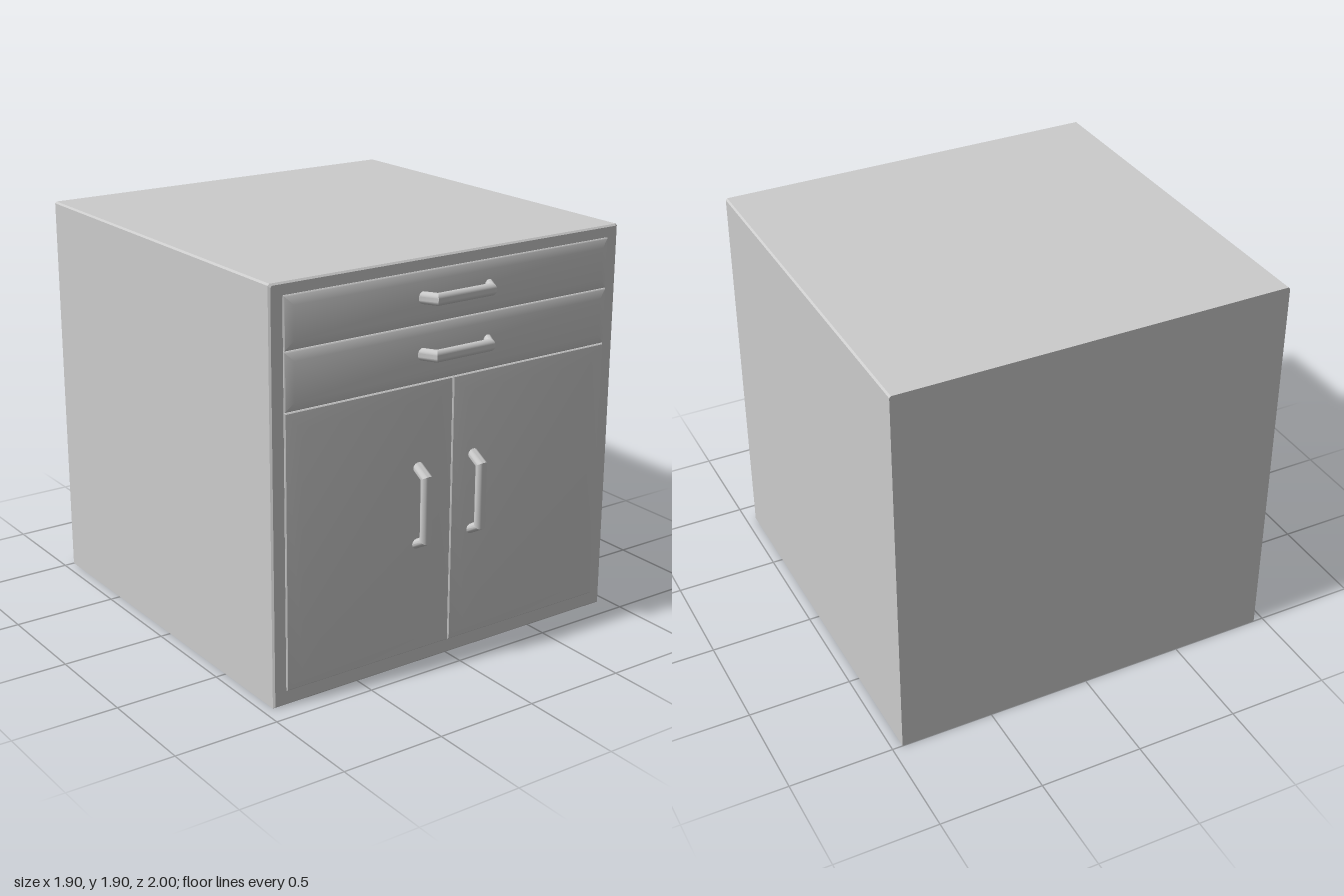
import * as THREE from 'three';
import { toCreasedNormals } from 'three/addons/utils/BufferGeometryUtils.js';

const material = new THREE.MeshStandardMaterial({ color: 0xcccccc });
const shellMaterial = new THREE.MeshStandardMaterial({ color: 0xcccccc, side: THREE.DoubleSide });

// Joins equal-length point loops with quads; the first and last loops can be capped.
function loft(loops, { closed = true, startCap = false, endCap = false } = {}) {
  const pos = [];
  const tri = (a, b, c) => pos.push(...a, ...b, ...c);
  const n = loops[0].length;
  for (let k = 0; k < loops.length - 1; k++) {
    for (let i = 0; i < (closed ? n : n - 1); i++) {
      const j = (i + 1) % n;
      const [a, b, c, d] = [loops[k][i], loops[k][j], loops[k + 1][j], loops[k + 1][i]];
      tri(a, b, c);
      tri(a, c, d);
    }
  }
  const first = loops[0], last = loops[loops.length - 1];
  for (let i = 1; i < n - 1; i++) {
    if (startCap) tri(first[0], first[i + 1], first[i]);
    if (endCap) tri(last[0], last[i], last[i + 1]);
  }
  const g = new THREE.BufferGeometry();
  g.setAttribute('position', new THREE.Float32BufferAttribute(pos, 3));
  return toCreasedNormals(g, 0.5);
}

function addMesh(parent, name, geometry, mat = material) {
  const mesh = new THREE.Mesh(geometry, mat);
  mesh.name = name;
  parent.add(mesh);
  return mesh;
}

// Thin cabinet shell, open underneath, with a fine chamfer round the front
function createShell() {
  const shell = new THREE.Group();
  shell.name = 'cabinetShell';
  const W = 0.95, H = 1.9, c = 0.008;
  const profile = (z, s = 0) => [
    [W - s, s, z], [W - s, H - c - s, z], [W - c - s, H - s, z],
    [-W + c + s, H - s, z], [-W + s, H - c - s, z], [-W + s, s, z],
  ];
  addMesh(shell, 'sidesTopAndBack', loft([profile(-1), profile(0.892)], { closed: false, startCap: true }), shellMaterial);
  addMesh(shell, 'frontChamfer', loft([profile(0.892), profile(0.9, c)]), shellMaterial);

  const toVectors = (pts) => pts.map(([x, y]) => new THREE.Vector2(x, y));
  const face = new THREE.Shape(toVectors(profile(0, c)));
  face.holes.push(new THREE.Path(toVectors([[-0.885, 0.07], [-0.885, 1.845], [0.885, 1.845], [0.885, 0.07]])));
  addMesh(shell, 'frontFrame', new THREE.ShapeGeometry(face), shellMaterial).position.z = 0.9;
  return shell;
}

// Deep box with a raised, bevelled front
function panelGeometry(x0, x1, y0, y1, bevel) {
  const rect = (z, s) => [[x0 + s, y0 + s, z], [x1 - s, y0 + s, z], [x1 - s, y1 - s, z], [x0 + s, y1 - s, z]];
  return loft([rect(-0.35, 0), rect(0.903, 0), rect(0.908, 0.005), rect(0.92, bevel)],
    { startCap: true, endCap: true });
}

// Bar handle lying along x: oval section, mitred corners, two splayed legs
function handleGeometry() {
  const t = 0.021, w = 0.028, sides = 20;
  // [x, z, offset x, offset z] of the centreline and its mitre
  const half = [[0.192, 0.9, 0.024, 0], [0.147, 0.979, 0.013, t]];
  const path = [
    ...half.map(([x, z, ox, oz]) => [-x, z, -ox, oz]),
    ...half.slice().reverse(),
  ];
  return loft(path.map(([x, z, ox, oz]) => Array.from({ length: sides }, (_, i) => {
    const a = (i / sides) * Math.PI * 2;
    return [x + ox * Math.sin(a), w * Math.cos(a), z + oz * Math.sin(a)];
  })));
}

export function createModel() {
  const model = new THREE.Group();
  model.name = 'cabinet';
  model.add(createShell());

  const handle = handleGeometry();
  const fronts = [
    // name, x0, x1, y0, y1, bevel, handle x, handle y, upright handle
    ['upperDrawer', -0.885, 0.885, 1.609, 1.845, 0.042, -0.004, 1.731, false],
    ['lowerDrawer', -0.885, 0.885, 1.345, 1.607, 0.042, -0.004, 1.48, false],
    ['rightDoor', -0.885, -0.001, 0.07, 1.343, 0.075, -0.196, 0.783, true],
    ['leftDoor', 0.001, 0.885, 0.07, 1.343, 0.075, 0.112, 0.783, true],
  ];
  for (const [name, x0, x1, y0, y1, bevel, hx, hy, upright] of fronts) {
    const group = new THREE.Group();
    group.name = name;
    addMesh(group, name + 'Panel', panelGeometry(x0, x1, y0, y1, bevel));
    const bar = addMesh(group, name + 'Handle', handle);
    bar.position.set(hx, hy, 0);
    if (upright) bar.rotation.z = Math.PI / 2;
    model.add(group);
  }
  return model;
}
